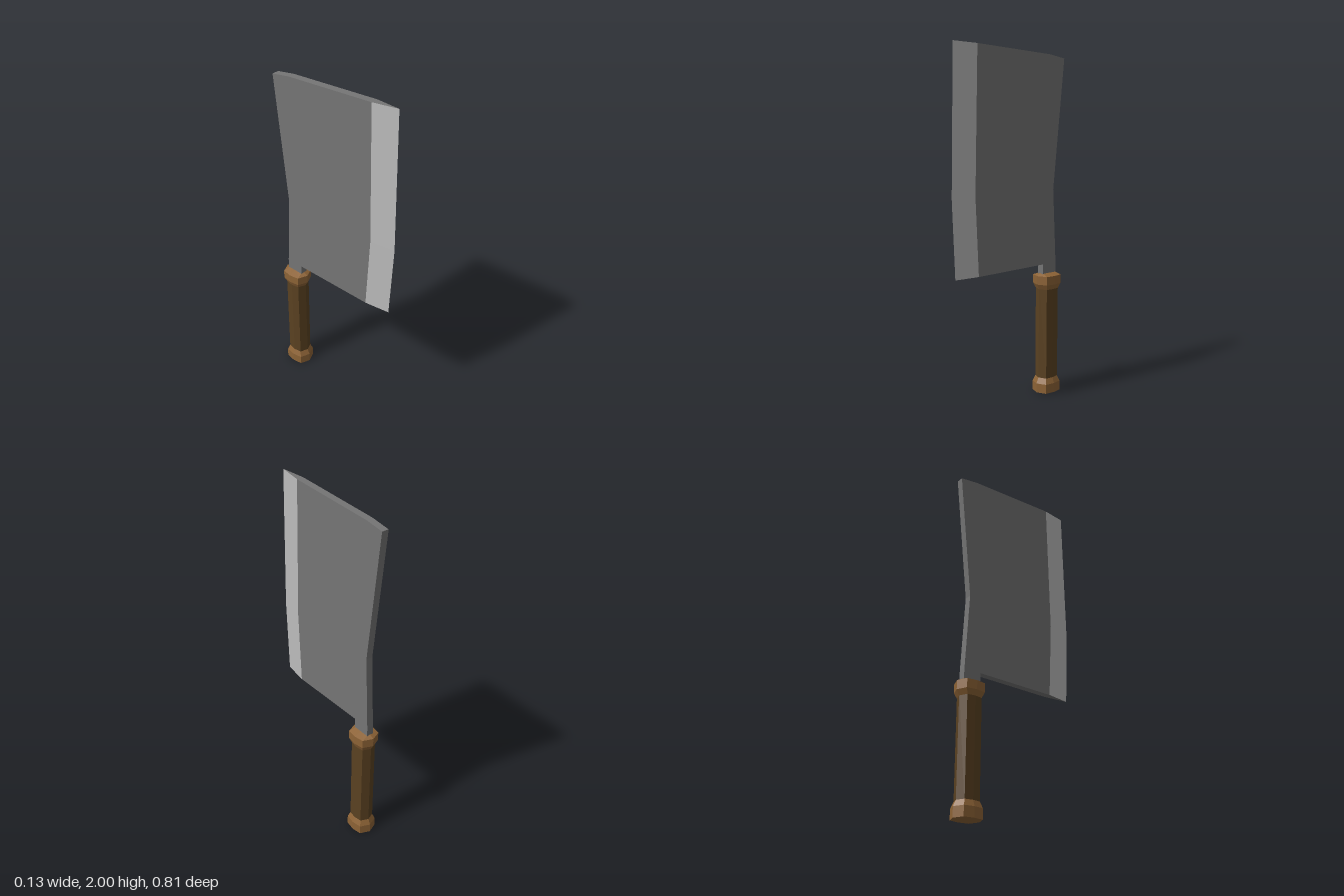
import * as THREE from 'three';

const mat = (name, color, side = THREE.FrontSide) => {
  const m = new THREE.MeshStandardMaterial({ color, side });
  m.name = name;
  return m;
};

const HANDLE_Z = -0.297;
const HALF = 0.02; // half the blade thickness

// Eight-sided handle piece, slightly flattened on its two sides
function handlePart(name, material, profile, ridgeY = Infinity) {
  const lathe = new THREE.LatheGeometry(profile.map(([r, y]) => new THREE.Vector2(r, y)), 8);
  const p = lathe.attributes.position;
  for (let i = 0; i < p.count; i++) {
    const z = p.getZ(i);
    if (Math.abs(z) < 1e-4) p.setX(i, p.getX(i) * 0.82);
    if (p.getY(i) >= ridgeY - 1e-4) { // pinch the top ring into a roof ridge
      p.setX(i, 0);
      p.setZ(i, Math.abs(z) < 1e-4 ? 0 : Math.sign(z) * 0.045);
    }
  }
  const geo = lathe.toNonIndexed();
  geo.computeVertexNormals(); // faceted
  const mesh = new THREE.Mesh(geo, material);
  mesh.name = name;
  mesh.position.z = HANDLE_Z;
  return mesh;
}

// Flat-shaded mesh from a list of triangles of corner points
function facets(name, material, tris) {
  const geo = new THREE.BufferGeometry();
  geo.setAttribute('position', new THREE.Float32BufferAttribute(tris.flat(2), 3));
  geo.computeVertexNormals();
  const mesh = new THREE.Mesh(geo, material);
  mesh.name = name;
  return mesh;
}

export function createModel() {
  const steel = mat('steel', 0x757575);
  const edgeSteel = mat('sharpened steel', 0xbcbcbc);
  const darkWood = mat('dark wood', 0x5a4121);
  const lightWood = mat('light wood', 0x8d6336);
  const group = new THREE.Group();
  group.name = 'cleaver';

  // Blade plate with tang, outline in (z, y)
  const outline = [
    [0.24, 0.77], [0.26, 1.2], [0.24, 1.992], [-0.29, 1.955], [-0.403, 1.936],
    [-0.323, 1.2], [-0.347, 0.77], [-0.349, 0.70], [-0.244, 0.70], [-0.244, 0.77],
  ];
  const shape = new THREE.Shape(outline.map(([z, y]) => new THREE.Vector2(z, y)));
  const plate = new THREE.ExtrudeGeometry(shape, { depth: 2 * HALF, bevelEnabled: false });
  plate.rotateY(-Math.PI / 2).translate(HALF, 0, 0);
  const blade = new THREE.Mesh(plate, steel);
  blade.name = 'blade';
  group.add(blade);

  // Ground cutting edge: rows of [y back, z back, y tip, z tip]
  const rows = [[0.77, 0.24, 0.77, 0.385], [1.2, 0.26, 1.2, 0.403], [1.992, 0.24, 2.0, 0.385]]
    .map(([yb, zb, yt, zt]) => ({ l: [HALF, yb, zb], r: [-HALF, yb, zb], t: [0, yt, zt] }));
  const bevel = [];
  for (let i = 0; i < rows.length - 1; i++) {
    const a = rows[i], b = rows[i + 1];
    bevel.push([a.t, a.l, b.l], [a.t, b.l, b.t]); // left face
    bevel.push([a.r, a.t, b.t], [a.r, b.t, b.r]); // right face
  }
  group.add(facets('cuttingEdge', edgeSteel, bevel));
  const [bottom, , top] = rows;
  group.add(facets('cuttingEdgeEnds', steel, [
    [bottom.r, bottom.l, bottom.t],
    [top.l, top.r, top.t],
  ]));

  // Handle: grip, pommel and collar
  group.add(handlePart('grip', darkWood, [[0.064, 0.05], [0.064, 0.66]]));
  group.add(handlePart('pommel', lightWood, [[0, 0], [0.08, 0], [0.08, 0.055], [0.064, 0.088]]));
  group.add(handlePart('collar', lightWood,
    [[0.064, 0.622], [0.08, 0.652], [0.08, 0.702], [0.05, 0.72]], 0.72));

  return group;
}
